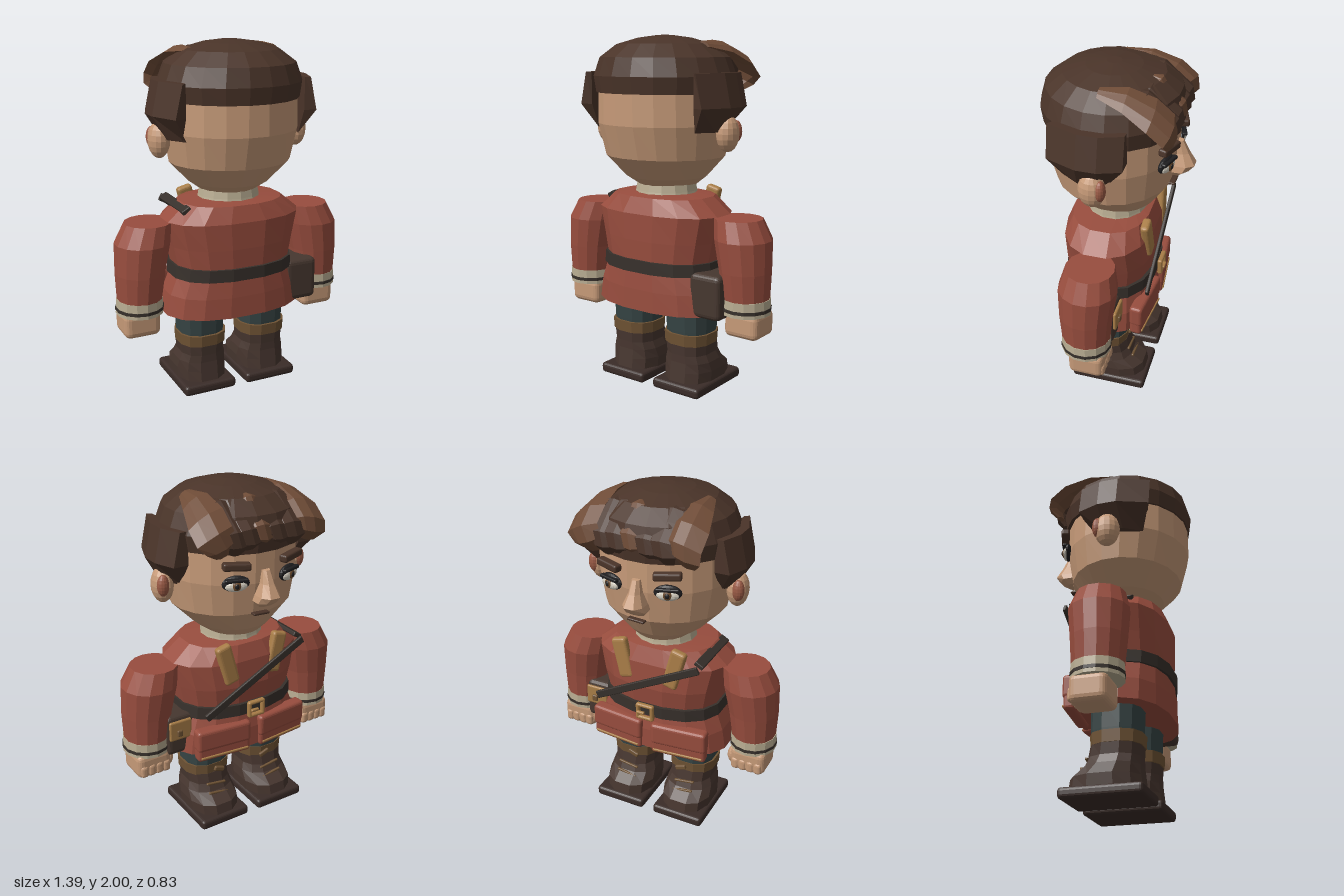
import * as THREE from 'three';
import { RoundedBoxGeometry } from 'three/addons/geometries/RoundedBoxGeometry.js';

const mat = color => new THREE.MeshStandardMaterial({ color, flatShading: true });
const M = {
  skin: mat(0xc69a78), ear: mat(0x9a5a45), hair: mat(0x4a3429), lock: mat(0x6f4c37), red: mat(0x984d3e),
  cream: mat(0xb9ad92), dark: mat(0x37302b), teal: mat(0x364444), boot: mat(0x47362f), sole: mat(0x3a2c28),
  tan: mat(0xa87d47), strap: mat(0x6f5334), pouch: mat(0x46372f), white: mat(0xd8d2c4), black: mat(0x1f1e20), iris: mat(0x6b4a2c),
};

export function createModel() {
  const model = new THREE.Group();

  function add(name, geometry, material, pos = [0, 0, 0], rot = [0, 0, 0], parent = model) {
    const mesh = new THREE.Mesh(geometry, material);
    mesh.name = name;
    mesh.position.set(...pos);
    mesh.rotation.set(...rot);
    parent.add(mesh);
    return mesh;
  }
  const box = (w, h, d, r = 0.012) => new RoundedBoxGeometry(w, h, d, 2, r);
  const ball = (name, scale, material, pos, parent) => {
    const m = add(name, new THREE.SphereGeometry(1, 14, 10), material, pos, [0, 0, 0], parent);
    m.scale.set(...scale);
  };

  // Skin over rings of points, closed at both ends
  function skin(rings) {
    const n = rings[0].length, p = [], idx = [];
    rings.forEach(r => r.forEach(v => p.push(...v)));
    for (let j = 0; j < rings.length - 1; j++) for (let k = 0; k < n; k++) {
      const a = j * n + k, b = j * n + (k + 1) % n;
      idx.push(a, a + n, b + n, a, b + n, b);
    }
    [0, rings.length - 1].forEach((j, top) => {
      const c = p.length / 3, o = j * n;
      p.push(...[0, 1, 2].map(i => rings[j].reduce((s, v) => s + v[i], 0) / n));
      for (let k = 0; k < n; k++) {
        const a = o + k, b = o + (k + 1) % n;
        idx.push(...(top ? [c, b, a] : [c, a, b]));
      }
    });
    const g = new THREE.BufferGeometry();
    g.setAttribute('position', new THREE.Float32BufferAttribute(p, 3));
    g.setIndex(idx);
    g.computeVertexNormals();
    return g;
  }

  // Upright body from rows [y, rx, rz, cx, cz]; a low power gives a boxier section
  const bend = (v, e) => Math.sign(v) * Math.abs(v) ** e;
  const loft = (rows, n = 14, e = 1) => skin(rows.map(([y, rx, rz, cx = 0, cz = 0]) =>
    Array.from({ length: n }, (_, k) => {
      const a = (k + 0.5) / n * Math.PI * 2;
      return [cx + rx * bend(Math.cos(a), e), y, cz + rz * bend(Math.sin(a), e)];
    })));

  // Hair lock from rows [x, y, z, halfWidth, halfThickness], running back to front; roll lowers its +x edge
  function lock(rows, roll) {
    return skin(rows.map(([x, y, z, w, t], i) => {
      const a = rows[Math.max(i - 1, 0)], b = rows[Math.min(i + 1, rows.length - 1)];
      const dy = b[1] - a[1], dz = b[2] - a[2], l = Math.hypot(dy, dz);
      const ny = -dz / l, nz = dy / l;
      return [[1, -0.2], [0.55, 0.7], [-0.1, 1], [-1, 0.3], [-0.6, -1], [0.6, -1]]
        .map(([u, v]) => [x + u * w, y + v * t * ny - u * w * roll, z + v * t * nz]);
    }));
  }

  // Head and neck
  add('head', loft([[1.17, 0.16, 0.17, 0, 0], [1.22, 0.23, 0.23, 0, 0.015], [1.34, 0.348, 0.32, 0, 0.03],
    [1.52, 0.38, 0.36, 0, 0.04], [1.69, 0.375, 0.36, 0, 0.04], [1.85, 0.33, 0.32, 0, 0.04]], 20), M.skin);
  add('collar', loft([[1.09, 0.19, 0.18, 0, 0.02], [1.14, 0.178, 0.168, 0, 0.02], [1.2, 0.168, 0.158, 0, 0.02]]), M.cream);
  add('nose', loft([[1.39, 0.045, 0.025, 0, -0.315], [1.42, 0.07, 0.06, 0, -0.325], [1.455, 0.062, 0.088, 0, -0.33],
    [1.52, 0.036, 0.06, 0, -0.32], [1.59, 0.024, 0.03, 0, -0.315]], 8, 0.8), M.skin);
  add('mouth', box(0.1, 0.014, 0.04, 0.006), M.hair, [0.015, 1.342, -0.298], [0, 0, 0.06]);

  // Hair cap
  add('hairCap', loft([[1.69, 0.39, 0.375, 0, 0.035], [1.78, 0.405, 0.387, 0, 0.035], [1.88, 0.365, 0.36, 0, 0.035],
    [1.95, 0.27, 0.27, 0, 0.035], [1.985, 0.15, 0.15, 0, 0.035], [2, 0.04, 0.04, 0, 0.035]], 20), M.hair);

  // Fringe: [x, halfWidth, back z, height offset, sideways sweep, light]
  [[-0.245, 0.1, 0.04, 0.004, -0.025, 1], [-0.14, 0.085, -0.12, 0, 0, 0], [-0.05, 0.08, -0.12, 0, 0, 0], [0.04, 0.065, -0.18, 0.012, 0, 1],
    [0.12, 0.085, -0.12, 0, 0, 0], [0.2, 0.085, -0.12, -0.005, 0, 0], [0.27, 0.1, 0.04, 0.004, 0.04, 1]].forEach(([x, w, z, h, out, light]) => {
    add('fringeLock', lock([
      [x, 1.945 + h, z, light ? w * 0.3 : w * 0.8, 0.012],
      [x + out * 0.5, 1.935 + h, (z - 0.25) / 2, w * 0.7, 0.024],
      [x + out, 1.88 + h, -0.24, w * 0.95, 0.032],
      [x + out, 1.81 + h, -0.325, w * 0.95, 0.032],
      [x + out * 0.5 - 0.02, 1.755 + h, -0.335, w * 0.85, 0.026],
      [x - 0.03, 1.7 + h, -0.3, w * 0.45, 0.012]], out * 10), light ? M.lock : M.hair);
  });

  // Torso, belt and buckle
  add('tunic', loft([[0.48, 0.42, 0.265, 0, 0.03], [0.6, 0.4, 0.262, 0, 0.03], [0.7, 0.36, 0.25, 0, 0.035], [0.77, 0.352, 0.25, 0, 0.035],
    [0.88, 0.375, 0.26, 0, 0.03], [1.03, 0.41, 0.255, 0, 0.035], [1.12, 0.3, 0.22, 0, 0.035], [1.13, 0.17, 0.16, 0, 0.02]], 16, 0.83), M.red);
  add('belt', loft([[0.7, 0.372, 0.267, 0, 0.033], [0.77, 0.365, 0.267, 0, 0.033]], 16, 0.83), M.dark);
  [-1, 1].forEach(s => {
    add('buckleSide', box(0.022, 0.1, 0.03), M.tan, [s * 0.045, 0.735, -0.25]);
    add('buckleBar', box(0.11, 0.022, 0.03), M.tan, [0, 0.735 + s * 0.04, -0.25]);
  });
  add('bucklePin', box(0.05, 0.016, 0.02, 0.006), M.tan, [0.02, 0.735, -0.268]);

  // Chest strap and its shoulder piece
  add('chestStrap', box(0.72, 0.045, 0.02, 0.006), M.dark, [0, 0.92, -0.24], [0, 0, -0.475]);
  add('shoulderStrap', box(0.055, 0.026, 0.36, 0.006), M.dark, [-0.31, 1.095, -0.03], [0, 0, 0.5]);

  // Side bag with tan clasp
  add('sideBag', box(0.2, 0.25, 0.3, 0.03), M.pouch, [0.39, 0.605, 0.06]);
  add('bagFlap', box(0.14, 0.12, 0.02), M.tan, [0.41, 0.645, -0.098]);
  add('bagClasp', box(0.035, 0.04, 0.02, 0.008), M.strap, [0.42, 0.63, -0.11]);

  [-1, 1].forEach(s => {
    // Side hair panel
    const panel = [[1.49, 0.4, -0.04, 0.22], [1.62, 0.48, -0.13, 0.275], [1.8, 0.44, -0.13, 0.275]].map(([y, x, f, b]) => {
      const i = 0.35, m = (f + b) / 2;
      const ring = [[i, f], [x - 0.045, f], [x, m - 0.08], [x, m + 0.03], [x - 0.065, b], [i, b - 0.02]].map(([px, z]) => [s * px, y, z]);
      return s < 0 ? ring.reverse() : ring;
    });
    add('sideHair', skin(panel), M.hair);

    // Ear
    ball('ear', [0.06, 0.1, 0.073], M.skin, [s * 0.42, 1.48, 0.035]);
    ball('innerEar', [0.035, 0.06, 0.03], M.ear, [s * 0.44, 1.49, -0.015]);

    // Eye and brow, turned a little outward
    const eye = new THREE.Group();
    eye.name = 'eye';
    eye.position.set(s * 0.165, 1.53, -0.29);
    eye.lookAt(s * 0.285, 1.53, -0.65);
    model.add(eye);
    ball('eyeRim', [0.075, 0.044, 0.024], M.black, [0, 0.004, 0], eye);
    ball('eyeWhite', [0.062, 0.031, 0.022], M.white, [0, -0.006, 0.009], eye);
    ball('iris', [0.024, 0.026, 0.012], M.iris, [0, -0.002, 0.024], eye);
    ball('pupil', [0.013, 0.015, 0.008], M.black, [0, -0.002, 0.032], eye);
    add('eyelid', box(0.125, 0.02, 0.03, 0.008), M.black, [0, 0.026, 0.018], [0, 0, 0], eye);
    add('brow', box(0.15, 0.042, 0.05), M.hair, [0, 0.102, 0.016], [0, 0, -s * 0.06], eye);

    // Sleeve, cuff and hand
    const x = s * 0.56;
    add('sleeve', loft([[0.57, 0.125, 0.135, x, 0.04], [0.75, 0.142, 0.15, s * 0.55, 0.04], [0.92, 0.158, 0.164, s * 0.53, 0.033],
      [1.03, 0.135, 0.135, s * 0.495, 0.03]], 14), M.red);
    add('cuff', loft([[0.515, 0.135, 0.14, x, 0.04], [0.6, 0.13, 0.138, x, 0.04]], 14), M.cream);
    add('cuffBand', loft([[0.535, 0.137, 0.142, x, 0.04], [0.553, 0.137, 0.142, x, 0.04]], 14), M.dark);
    add('hand', box(0.21, 0.15, 0.2, 0.035), M.skin, [s * 0.565, 0.455, 0.02]);
    ball('thumb', [0.035, 0.055, 0.04], M.skin, [s * 0.468, 0.455, -0.03]);
    for (let i = 0; i < 4; i++) add('finger', box(0.047, 0.075, 0.05, 0.018), M.skin, [s * (0.495 + i * 0.046), 0.427, -0.062]);

    // Leg, knee strap, boot and sole
    const lx = s * 0.192;
    add('trouserLeg', loft([[0.24, 0.13, 0.13, lx, 0.03], [0.36, 0.135, 0.138, lx, 0.032], [0.52, 0.14, 0.143, lx, 0.035]], 12, 0.8), M.teal);
    add('legStrap', loft([[0.28, 0.142, 0.142, lx, 0.037], [0.345, 0.146, 0.146, lx, 0.037]], 12, 0.8), M.strap);
    add('strapEnd', box(0.07, 0.03, 0.02, 0.008), M.strap, [lx - s * 0.03, 0.3, -0.108], [0, 0, s * 0.35]);
    add('boot', loft([[0.05, 0.15, 0.205, lx, -0.02], [0.12, 0.155, 0.195, lx, -0.018], [0.175, 0.148, 0.155, lx, 0.015],
      [0.22, 0.132, 0.145, lx, 0.025], [0.285, 0.138, 0.14, lx, 0.033]], 12, 0.8), M.boot);
    add('sole', box(0.32, 0.06, 0.45, 0.02), M.sole, [s * 0.195, 0.03, -0.015]);
    [0.165, 0.215].forEach((y, i) => add('bootLace', box(0.13, 0.014, 0.016, 0.006), M.strap, [lx, y, -0.145 + i * 0.025], [0, 0, s * 0.15]));

    // Collar tab
    add('collarTab', box(0.092, 0.24, 0.05, 0.018), M.tan, [s * 0.16, 1.03, -0.198], [0.04, 0, -s * 0.25]);

    // Belt pouch with lid and trim
    const pouch = new THREE.Group();
    pouch.name = 'beltPouch';
    pouch.position.set(s * 0.195, 0.56, -0.2);
    pouch.rotation.set(0, -s * 0.1, 0);
    model.add(pouch);
    add('pouchBody', box(0.33, 0.19, 0.07, 0.02), M.red, [0, 0, 0], [0, 0, 0], pouch);
    add('pouchLid', box(0.335, 0.13, 0.078, 0.02), M.red, [0, 0.035, -0.002], [0, 0, 0], pouch);
    add('pouchTrim', box(0.3, 0.014, 0.02, 0.005), M.tan, [0, -0.07, -0.032], [0, 0, 0], pouch);
  });

  return model;
}
